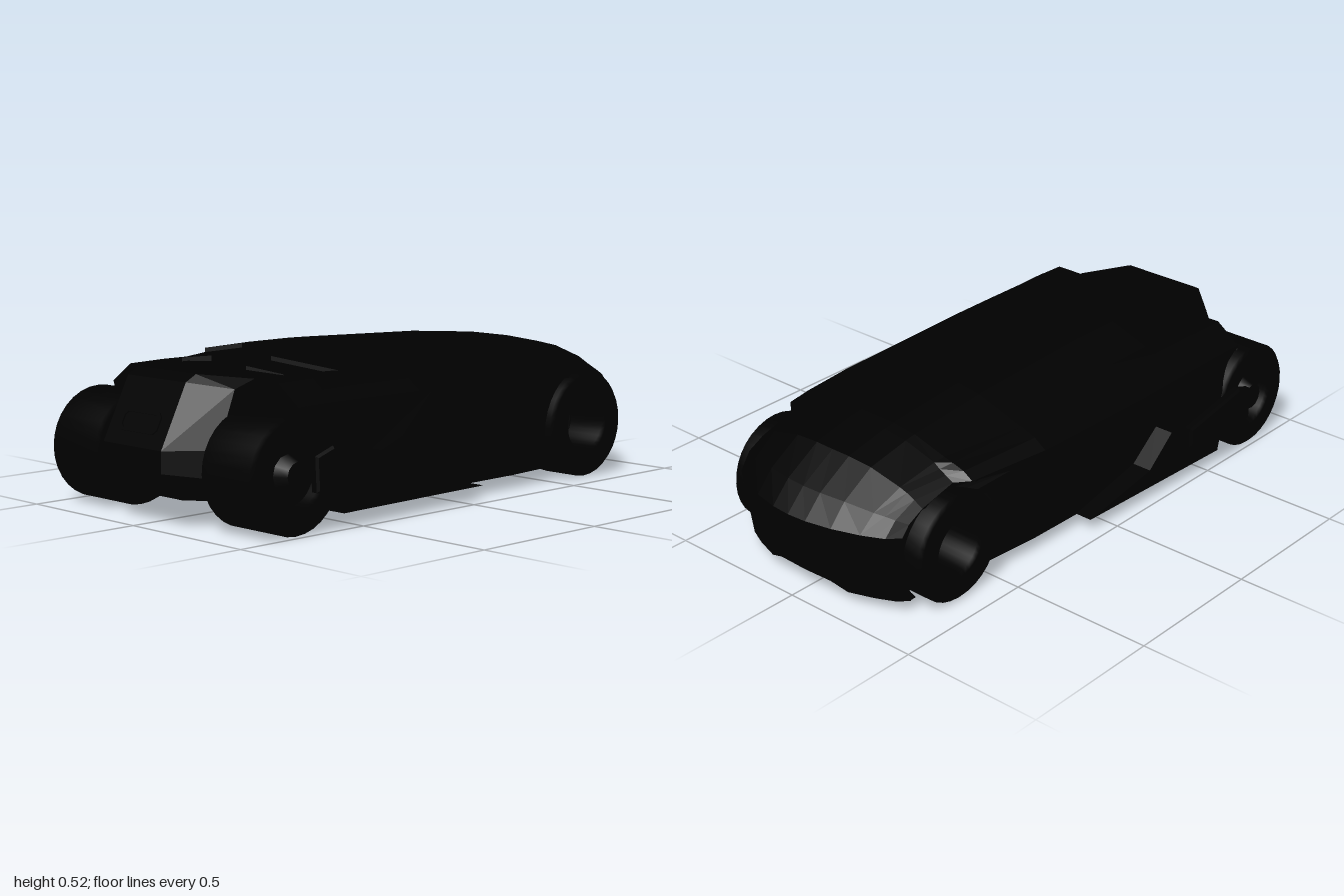
import * as THREE from 'three';
import { ConvexGeometry } from 'three/addons/geometries/ConvexGeometry.js';

const black = new THREE.MeshStandardMaterial({ color: 0x000000, side: THREE.DoubleSide });
black.name = 'black';

function add(parent, name, geometry) {
  const mesh = new THREE.Mesh(geometry, black);
  mesh.name = name;
  parent.add(mesh);
  return mesh;
}

// Faceted skin joining rows of [x, y, z] points
function loft(rows) {
  const n = rows[0].length, index = [];
  for (let r = 0; r < rows.length - 1; r++) {
    for (let i = 0; i < n - 1; i++) {
      const a = r * n + i, b = a + n;
      index.push(a, b, a + 1, a + 1, b, b + 1);
    }
  }
  const g = new THREE.BufferGeometry();
  g.setAttribute('position', new THREE.Float32BufferAttribute(rows.flat(2), 3));
  g.setIndex(index);
  const flat = g.toNonIndexed();
  flat.computeVertexNormals();
  return flat;
}
const mirrorRow = (row) => [...row.slice(1).reverse().map(([x, y, z]) => [-x, y, z]), ...row];

// Piecewise linear lookup, keys falling along z
function lerpTable(table, z) {
  if (z >= table[0][0]) return table[0][1];
  for (let i = 1; i < table.length; i++) {
    const [z0, v0] = table[i - 1], [z1, v1] = table[i];
    if (z >= z1) return v0 + (v1 - v0) * (z - z0) / (z1 - z0);
  }
  return table[table.length - 1][1];
}
const waist = (z) => lerpTable([[0.72, 0.447], [0.2, 0.45], [-0.3, 0.438], [-0.5, 0.418], [-0.6, 0.4], [-0.64, 0.356], [-0.86, 0.35]], z);
const blade = (z) => lerpTable([[0.57, 0.487], [0.2, 0.476], [-0.09, 0.458]], z);
function flankX(z, y) {
  if (z < -0.1) return waist(z);
  return THREE.MathUtils.lerp(blade(z), waist(z), THREE.MathUtils.clamp((y - 0.27) / 0.1, 0, 1));
}

// Plate drawn in the z-y plane and bent onto the body side
function sidePlate(points, xRule) {
  const g = new THREE.ShapeGeometry(new THREE.Shape(points.map(([z, y]) => new THREE.Vector2(z, y)))).toNonIndexed();
  const p = g.attributes.position;
  for (let i = 0; i < p.count; i++) {
    const z = p.getX(i), y = p.getY(i);
    p.setXYZ(i, xRule(z, y), y, z);
  }
  g.computeVertexNormals();
  return g;
}

// Arch points: angle 0 faces the front, 180 the rear
function arch(cz, r, from, to, steps) {
  return Array.from({ length: steps + 1 }, (_, i) => {
    const a = THREE.MathUtils.degToRad(from + (to - from) * i / steps);
    return [cz + r * Math.cos(a), 0.185 + r * Math.sin(a)];
  });
}

function ring(inner, outer, x0, x1) {
  const b = 0.011;
  const profile = [[inner, x0 + b], [inner + b, x0], [outer - b, x0], [outer, x0 + b],
    [outer, x1 - b], [outer - b, x1], [inner + b, x1], [inner, x1 - b], [inner, x0 + b]];
  return new THREE.LatheGeometry(profile.map(([r, x]) => new THREE.Vector2(r, x)), 32).rotateZ(-Math.PI / 2);
}

// Half cross-section of the roof and shoulders: centre, edges, rail, fender, waist
const bulge = [0, 0.005, 0.025, 0.06, 0.08, 0.1, 0.14];
function section(z, ys, xs, round = 0) {
  return xs.map((x, i) => [x, ys[i], z + bulge[i] * round]);
}
const sections = [
  section(0.38, [0.521, 0.521, 0.51, 0.46, 0.452, 0.425, 0.388], [0, 0.07, 0.16, 0.305, 0.355, 0.4, 0.448]),
  section(0.2, [0.521, 0.521, 0.51, 0.46, 0.448, 0.425, 0.388], [0, 0.07, 0.16, 0.305, 0.35, 0.4, 0.45]),
  section(-0.3, [0.503, 0.503, 0.492, 0.45, 0.437, 0.418, 0.388], [0, 0.07, 0.16, 0.295, 0.34, 0.395, 0.438]),
  section(-0.6, [0.478, 0.478, 0.468, 0.433, 0.425, 0.412, 0.39], [0, 0.07, 0.16, 0.285, 0.32, 0.365, 0.4]),
  section(-0.64, [0.472, 0.472, 0.462, 0.428, 0.413, 0.4, 0.385], [0, 0.07, 0.16, 0.28, 0.302, 0.328, 0.356]),
  section(-0.8, [0.44, 0.44, 0.432, 0.402, 0.39, 0.373, 0.35], [0, 0.07, 0.16, 0.275, 0.3, 0.326, 0.352], 0.2),
  section(-0.93, [0.365, 0.365, 0.362, 0.35, 0.344, 0.336, 0.32], [0, 0.07, 0.16, 0.26, 0.293, 0.323, 0.352], 0.7),
  section(-1, [0.295, 0.295, 0.294, 0.291, 0.289, 0.287, 0.284], [0, 0.07, 0.16, 0.25, 0.285, 0.318, 0.35], 1),
];

function buildSide() {
  const side = new THREE.Group();
  // Shoulder and front fender outside the roof rail
  const fenderFoot = [[0.25, 0.36, 0.715], [0.355, 0.36, 0.715], [0.4, 0.36, 0.715], [0.447, 0.365, 0.715]];
  const fenderFront = [[0.25, 0.45, 0.72], [0.358, 0.45, 0.72], [0.4, 0.42, 0.72], [0.447, 0.386, 0.72]];
  const fenderTop = [[0.25, 0.455, 0.58], [0.36, 0.453, 0.58], [0.402, 0.422, 0.58], [0.447, 0.388, 0.58]];
  add(side, 'shoulder', loft([fenderFoot, fenderFront, fenderTop, ...sections.map((s) => s.slice(3))]));

  // Flank with both wheel arches and the pointed lower blade
  const outline = [
    [0.72, 0.386], [0.58, 0.388], [0.2, 0.388], [-0.3, 0.388], [-0.5, 0.389], [-0.6, 0.39], [-0.64, 0.385],
    [-0.772, 0.35], [-0.832, 0.32], [-0.86, 0.284], [-0.83, 0.05],
    ...arch(-0.67, 0.192, 224, 62, 16),
    [-0.45, 0.372], [0.15, 0.38], [0.31, 0.26], [0.31, 0.22], [0.2, 0.12], [-0.09, 0.05], [0.57, 0.05],
    ...arch(0.76, 0.197, 205, 102, 10),
  ];
  add(side, 'flank', sidePlate(outline, flankX));
  // Recessed door panel
  const recessX = (z, y) => lerpTable([[0.36, 0.422], [-0.3, 0.412], [-0.57, 0.39]], z) - 0.05 * Math.max(0, 0.39 - y);
  add(side, 'doorRecess', sidePlate(
    [[0.36, 0.385], [-0.3, 0.385], [-0.57, 0.38], ...arch(-0.67, 0.192, 62, -44, 10), [-0.3, 0.05], [0.36, 0.05]], recessX));
  // Rim of the door recess
  const edge = [[-0.45, 0.372], [0.15, 0.38], [0.31, 0.26], [0.31, 0.22], [0.2, 0.12], [-0.09, 0.05]];
  add(side, 'recessRim', loft([edge.map(([z, y]) => [flankX(z, y), y, z]), edge.map(([z, y]) => [recessX(z, y), y, z])]));

  // Wheels
  add(side, 'frontTyre', ring(0.1, 0.185, 0.252, 0.487)).position.set(0, 0.188, 0.76);
  add(side, 'rearTyre', ring(0.09, 0.183, 0.255, 0.413)).position.set(0, 0.188, -0.67);
  const hub = add(side, 'frontHub', new THREE.CylinderGeometry(0.102, 0.102, 0.18, 24).rotateZ(Math.PI / 2));
  hub.position.set(0.355, 0.188, 0.76);
  const cap = add(side, 'frontHubCap', new THREE.CylinderGeometry(0.045, 0.065, 0.05, 12).rotateZ(-Math.PI / 2));
  cap.position.set(0.465, 0.188, 0.76);

  // Pointed arm reaching from the flank to the front hub
  const arm = new THREE.Shape([[0.7, 0.14], [0.6, 0.122], [0.375, 0.16], [0.375, 0.215], [0.64, 0.262], [0.705, 0.24]]
    .map(([z, y]) => new THREE.Vector2(-z, y)));
  const armGeometry = new THREE.ExtrudeGeometry(arm, {
    depth: 0.02, bevelEnabled: true, bevelThickness: 0.007, bevelSize: 0.008, bevelSegments: 1 });
  add(side, 'hubArm', armGeometry.rotateY(Math.PI / 2).translate(0.492, 0, 0));
  return side;
}

export function createModel() {
  const model = new THREE.Group();
  model.name = 'lowCar';

  // Roof with a zigzag front edge, stepping down to the cowl
  const lip = [[0, 0.521, 0.49], [0.07, 0.521, 0.49], [0.16, 0.505, 0.57], [0.305, 0.46, 0.42]];
  const lowered = (row, dy) => row.map(([x, y, z]) => [x, y - dy, z]);
  add(model, 'roof', loft([lip, ...sections.map((s) => s.slice(0, 4))].map(mirrorRow)));
  const cowlEdge = [[0, 0.49, 0.61], [0.08, 0.49, 0.61], [0.155, 0.482, 0.67], [0.25, 0.458, 0.6]];
  add(model, 'cowl', loft([lowered(cowlEdge, 0.02), cowlEdge, lowered(lip, 0.014), lip].map(mirrorRow)));

  // Rear wall sloping in under the tail edge, raised in the middle
  const rim = sections[sections.length - 1];
  const footX = [0, 0.11, 0.168, 0.25, 0.285, 0.318, 0.35];
  const tailFoot = footX.map((x, i) => [x, i < 2 ? 0.07 : 0.046, -0.94 + bulge[i] * 0.8]);
  add(model, 'tail', loft([rim, tailFoot].map(mirrorRow)));

  // Nose between the front wheels
  const half = [
    [0.14, 0.25, 1], [0.14, 0.18, 1], [0.14, 0.09, 0.92], [0.14, 0.45, 0.9], [0.14, 0.472, 0.86],
    [0.25, 0.25, 0.87], [0.25, 0.16, 0.87], [0.25, 0.43, 0.8], [0.25, 0.455, 0.72],
    [0.17, 0.075, 0.8], [0.25, 0.455, 0.45], [0.14, 0.472, 0.45], [0.25, 0.16, 0.45], [0.17, 0.075, 0.45],
  ];
  const nosePoints = half.flatMap(([x, y, z]) => [new THREE.Vector3(x, y, z), new THREE.Vector3(-x, y, z)]);
  add(model, 'nose', new ConvexGeometry(nosePoints));

  // Raised frame around the nose intake
  const slot = (w, h, c) => [[-w, -h + c], [-w + c, -h], [w - c, -h], [w, -h + c], [w, h - c], [w - c, h], [-w + c, h], [-w, h - c]]
    .map(([x, y]) => new THREE.Vector2(x, y));
  const frame = new THREE.Shape(slot(0.092, 0.036, 0.015));
  frame.holes.push(new THREE.Path(slot(0.08, 0.026, 0.012)));
  const intake = add(model, 'intakeFrame', new THREE.ExtrudeGeometry(frame, { depth: 0.006, bevelEnabled: false }));
  intake.rotation.x = -Math.atan2(0.1, 0.2);
  intake.position.set(0, 0.322, 0.963);

  // Floor with a shallow centre tunnel
  const floorRow = (z, w) => mirrorRow([[0, 0.073, z], [0.11, 0.073, z], [0.17, 0.048, z], [w, 0.05, z]]);
  add(model, 'floor', loft([floorRow(0.57, 0.485), floorRow(0.35, 0.41), floorRow(-0.3, 0.395), floorRow(-0.52, 0.375)]));

  // Matching sides
  const left = buildSide();
  left.name = 'leftSide';
  const right = buildSide();
  right.name = 'rightSide';
  right.scale.x = -1;
  model.add(left, right);
  return model;
}
